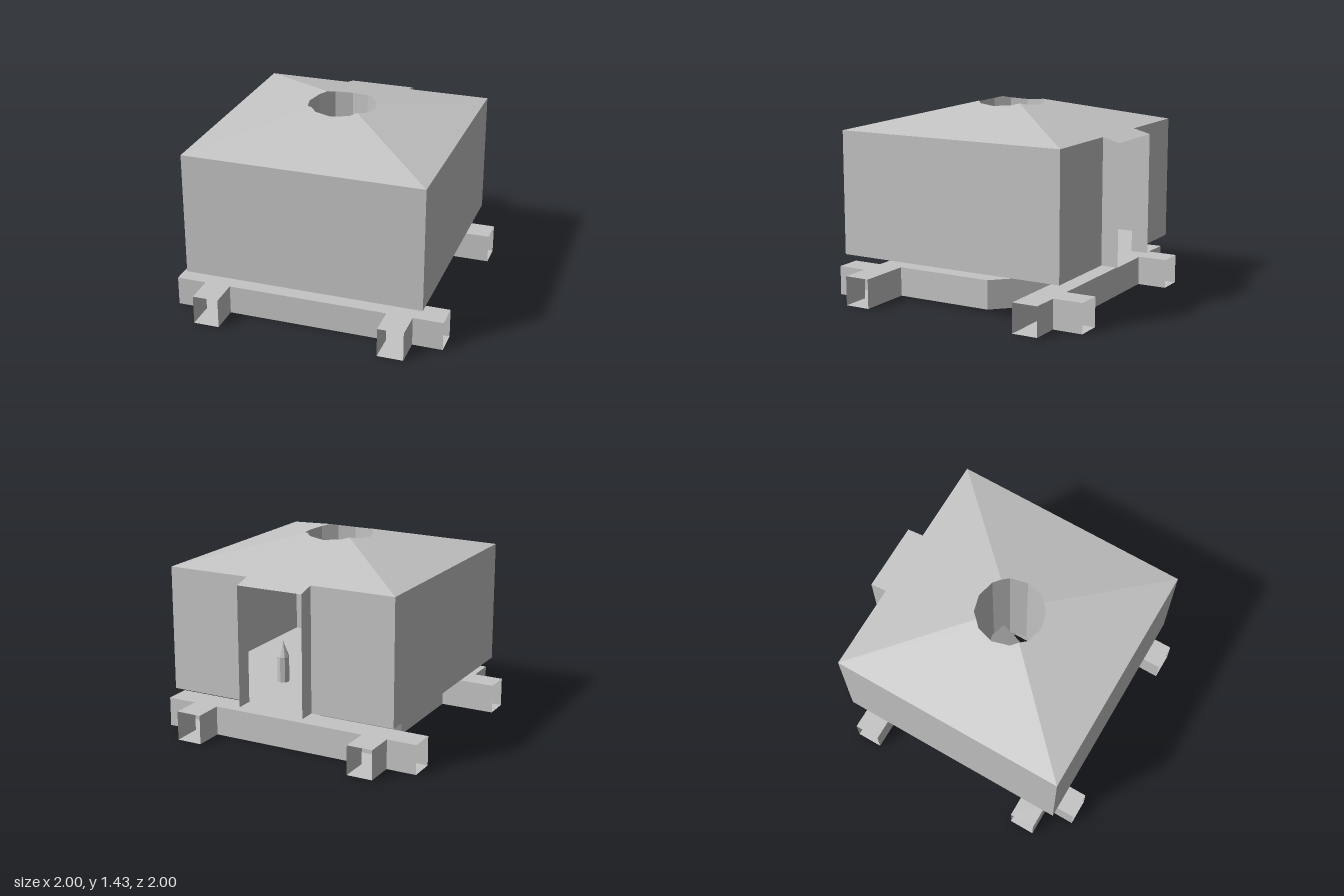
import * as THREE from 'three';

const grey = new THREE.MeshStandardMaterial({ color: 0xc4c4c4, flatShading: true, side: THREE.DoubleSide });
grey.name = 'plain grey';

const W = 0.875, EAVE = 1.405, FLOOR = 0.5, BASE_TOP = 0.375, BASE_LOW = 0.16;
const roofY = (x, z) => EAVE + (W - Math.max(Math.abs(x), Math.abs(z))) * 0.257;
const v2 = (p) => new THREE.Vector2(p[0], p[1]);
const ring = (n, r, turn = 0) => Array.from({ length: n }, (_, i) => {
  const a = (i / n) * Math.PI * 2 + turn;
  return [r * Math.cos(a), r * Math.sin(a)];
});

function add(parent, name, geometry) {
  const mesh = new THREE.Mesh(geometry, grey);
  mesh.name = name;
  parent.add(mesh);
  return mesh;
}

// Sheet with a plan outline (x, z) and a height rule
function sheet(points, heightAt, holes = []) {
  const shape = new THREE.Shape(points.map(v2));
  for (const h of holes) shape.holes.push(new THREE.Path(h.map(v2)));
  const g = new THREE.ShapeGeometry(shape).rotateX(Math.PI / 2);
  const p = g.attributes.position;
  for (let i = 0; i < p.count; i++) p.setY(i, heightAt(p.getX(i), p.getZ(i)));
  g.computeVertexNormals();
  return g;
}

// Upright walls along a plan path; skip(a, b) leaves a side open
function walls(points, low, topAt, closed = true, skip = () => false) {
  const out = [];
  const n = points.length - (closed ? 0 : 1);
  for (let i = 0; i < n; i++) {
    const a = points[i], b = points[(i + 1) % points.length];
    if (skip(a, b)) continue;
    const ta = topAt(...a), tb = topAt(...b);
    out.push(a[0], low, a[1], b[0], low, b[1], b[0], tb, b[1]);
    out.push(a[0], low, a[1], b[0], tb, b[1], a[0], ta, a[1]);
  }
  const g = new THREE.BufferGeometry();
  g.setAttribute('position', new THREE.Float32BufferAttribute(out, 3));
  g.computeVertexNormals();
  return g;
}

function createBase() {
  const base = new THREE.Group();
  base.name = 'base';
  const half = [
    [0.59, 0.78], [0.59, 1], [0.78, 1], [0.78, 0.78], [1, 0.78], [1, 0.59], [0.59, 0.59],
    [0.59, -0.15], [0.15, -0.59], [1, -0.59], [1, -0.78], [0.78, -0.78], [0.78, -1],
    [0.59, -1], [0.59, -0.78],
  ];
  const outline = [...half, ...half.map(([x, z]) => [-x, z]).reverse()];
  const well = ring(8, 0.36, Math.PI / 8);
  const slot = [[-0.08, 0.59], [0.08, 0.59], [0.08, 0.65], [-0.08, 0.65]];
  const top = () => BASE_TOP;
  // Ends of the hollow beams stay open
  const openEnd = (a, b) => [0, 1].some((k) => Math.abs(a[k]) === 1 && a[k] === b[k]);
  add(base, 'baseTop', sheet(outline, top, [well]));
  add(base, 'baseBottom', sheet(outline, () => BASE_LOW, [well, slot]));
  add(base, 'baseSides', walls(outline, BASE_LOW, top, true, openEnd));
  add(base, 'wellWall', walls(well, BASE_LOW, top));
  for (const z of [0.59, -0.59]) {
    add(base, 'beamInnerWall', walls([[-0.59, z], [0.59, z]], BASE_LOW, top, false));
  }
  // Shallow recess under the front beam
  add(base, 'slotWall', walls(slot, BASE_LOW, () => 0.19));
  add(base, 'slotTop', sheet(slot, () => 0.19));
  return base;
}

function createBody() {
  const body = new THREE.Group();
  body.name = 'body';
  const hole = ring(12, 0.25);
  const porch = [[-0.25, -W], [-0.25, -1], [0.25, -1], [0.25, -W]];
  // Walls run round from one porch cheek to the other, leaving the doorway open
  const plan = [[0.25, -1], [0.25, -W], [W, -W], [W, W], [-W, W], [-W, -W], [-0.25, -W], [-0.25, -1]];
  add(body, 'outerWalls', walls(plan, FLOOR, roofY, false));
  add(body, 'floor', sheet(plan, () => FLOOR, [hole]));
  add(body, 'porchRoof', sheet(porch, roofY));

  // Four roof slopes around the round opening
  const d = 0.25 * Math.cos(Math.PI / 12) * Math.SQRT1_2;
  const slope = [[-W, W], [W, W], [d, d], [0.125, 0.2165], [0, 0.25], [-0.125, 0.2165], [-d, d]];
  for (let i = 0; i < 4; i++) {
    add(body, 'roofSlope', sheet(slope, roofY)).rotation.y = (i * Math.PI) / 2;
  }

  // Shaft below the roof opening; its rim follows the slopes and ridges
  const rim = [];
  hole.forEach((p, i) => {
    rim.push(p);
    if (i % 3 === 1) rim.push([d * Math.sign(p[0]), d * Math.sign(p[1] + hole[i + 1][1])]);
  });
  rim.forEach((p, i) => {
    const next = rim[(i + 1) % rim.length];
    if (Math.abs(Math.abs(p[0]) - d) < 1e-6) p[0] = d * Math.sign(rim[i - 1][0] + next[0]);
  });
  add(body, 'shaft', walls(rim, FLOOR, roofY));
  return body;
}

function createColumn() {
  const column = new THREE.Group();
  column.name = 'column';
  const plan = [[0.125, 0.125], [0, 0.155], [-0.125, 0.125], [-0.125, -0.125], [0, -0.155], [0.125, -0.125]];
  const slant = (x, z) => 0.53 + (0.155 - z) * 1.2;
  add(column, 'columnSides', walls(plan, 0.17, slant));
  add(column, 'columnTop', sheet(plan, slant));
  add(column, 'columnBottom', sheet(plan, () => 0.17));
  // Bridge from the column to the floor
  const bridge = [[-0.125, -0.125], [0, -0.155], [0.125, -0.125], [0.125, -0.2165], [0, -0.25], [-0.125, -0.2165]];
  add(column, 'bridge', sheet(bridge, () => FLOOR + 0.002));
  return column;
}

function createPeg() {
  const peg = new THREE.Group();
  peg.name = 'peg';
  add(peg, 'pegShaft', new THREE.CylinderGeometry(0.045, 0.045, 0.19, 8)).position.y = 0.095;
  add(peg, 'pegTip', new THREE.ConeGeometry(0.045, 0.12, 8)).position.y = 0.25;
  peg.position.set(0.27, FLOOR, -0.37);
  return peg;
}

export function createModel() {
  const model = new THREE.Group();
  model.name = 'hut';
  model.add(createBase(), createBody(), createColumn(), createPeg());
  return model;
}
